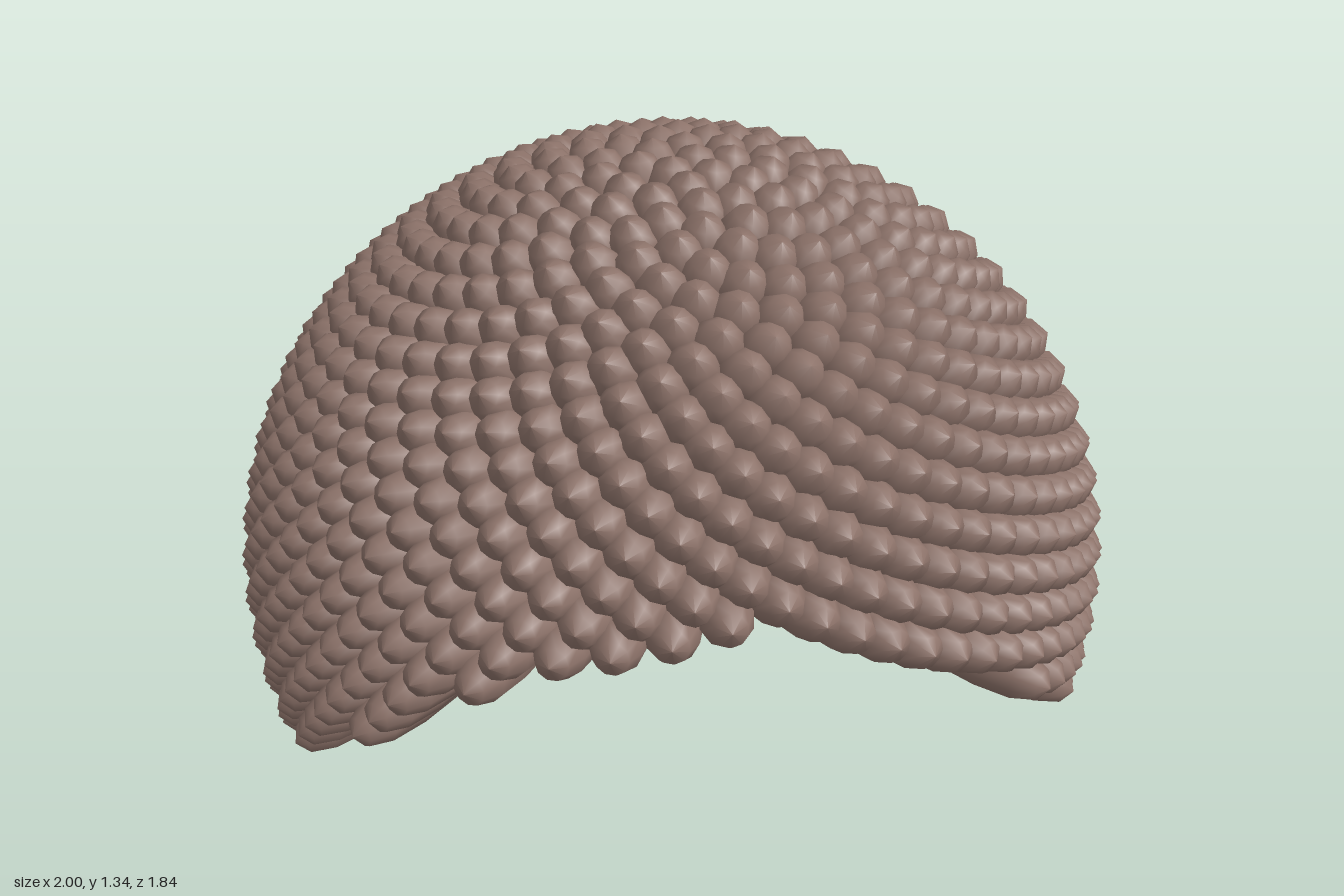
import * as THREE from 'three';
import { mergeGeometries } from 'three/addons/utils/BufferGeometryUtils.js';

// Tips lie on an outer dome; roots lie on a smaller scalp set a little higher,
// so the locks droop slightly.
const DOME = { centre: new THREE.Vector3(0, 0.36, 0.05), radii: new THREE.Vector3(1, 1, 0.97) };
const SCALP = { centre: new THREE.Vector3(0, 0.41, 0.05), radii: new THREE.Vector3(0.46, 0.57, 0.46) };
const COUNT = 1600;

const pointOn = (shell, dir) => dir.clone().multiply(shell.radii).add(shell.centre);

// One lock of unit length along +y: a tapered drop, from root to rounded tip.
function lockGeometry() {
  const profile = [
    [0, 0], [0.023, 0.04], [0.042, 0.2], [0.058, 0.48],
    [0.063, 0.7], [0.056, 0.86], [0.036, 0.96], [0, 1],
  ].map(([r, d]) => new THREE.Vector2(r, d));
  return new THREE.LatheGeometry(profile, 10);
}

// The hairline is flat at the back and sides and sweeps up over the face.
function aboveHairline(tip) {
  const forward = Math.max(0, tip.z - 0.05);
  return tip.y > 0.04 + 1.02 * forward ** 2.4;
}

export function createModel() {
  const group = new THREE.Group();
  group.name = 'hair';
  const lock = lockGeometry();
  const locks = [];
  const up = new THREE.Vector3(0, 1, 0);
  const goldenAngle = Math.PI * (3 - Math.sqrt(5));

  // Spread the locks over the dome in a golden-angle spiral.
  for (let i = 0; i < COUNT; i++) {
    const y = 1 - (2 * (i + 0.5)) / COUNT;
    const r = Math.sqrt(1 - y * y);
    const a = i * goldenAngle;
    const dir = new THREE.Vector3(r * Math.cos(a), y, r * Math.sin(a));
    const tip = pointOn(DOME, dir);
    if (!aboveHairline(tip)) continue;
    const root = pointOn(SCALP, dir);
    const along = tip.clone().sub(root);
    const length = along.length();
    const turn = new THREE.Quaternion().setFromUnitVectors(up, along.normalize());
    const place = new THREE.Matrix4().compose(root, turn, new THREE.Vector3(1, length, 1));
    locks.push(lock.clone().applyMatrix4(place));
  }

  // Rest the lowest locks on the ground and centre the whole.
  const geometry = mergeGeometries(locks);
  geometry.computeBoundingBox();
  const box = geometry.boundingBox;
  const mid = box.getCenter(new THREE.Vector3());
  geometry.translate(-mid.x, -box.min.y, -mid.z);

  const mesh = new THREE.Mesh(geometry, new THREE.MeshStandardMaterial({ color: 0x8c7269 }));
  mesh.name = 'hairLocks';
  group.add(mesh);
  return group;
}
